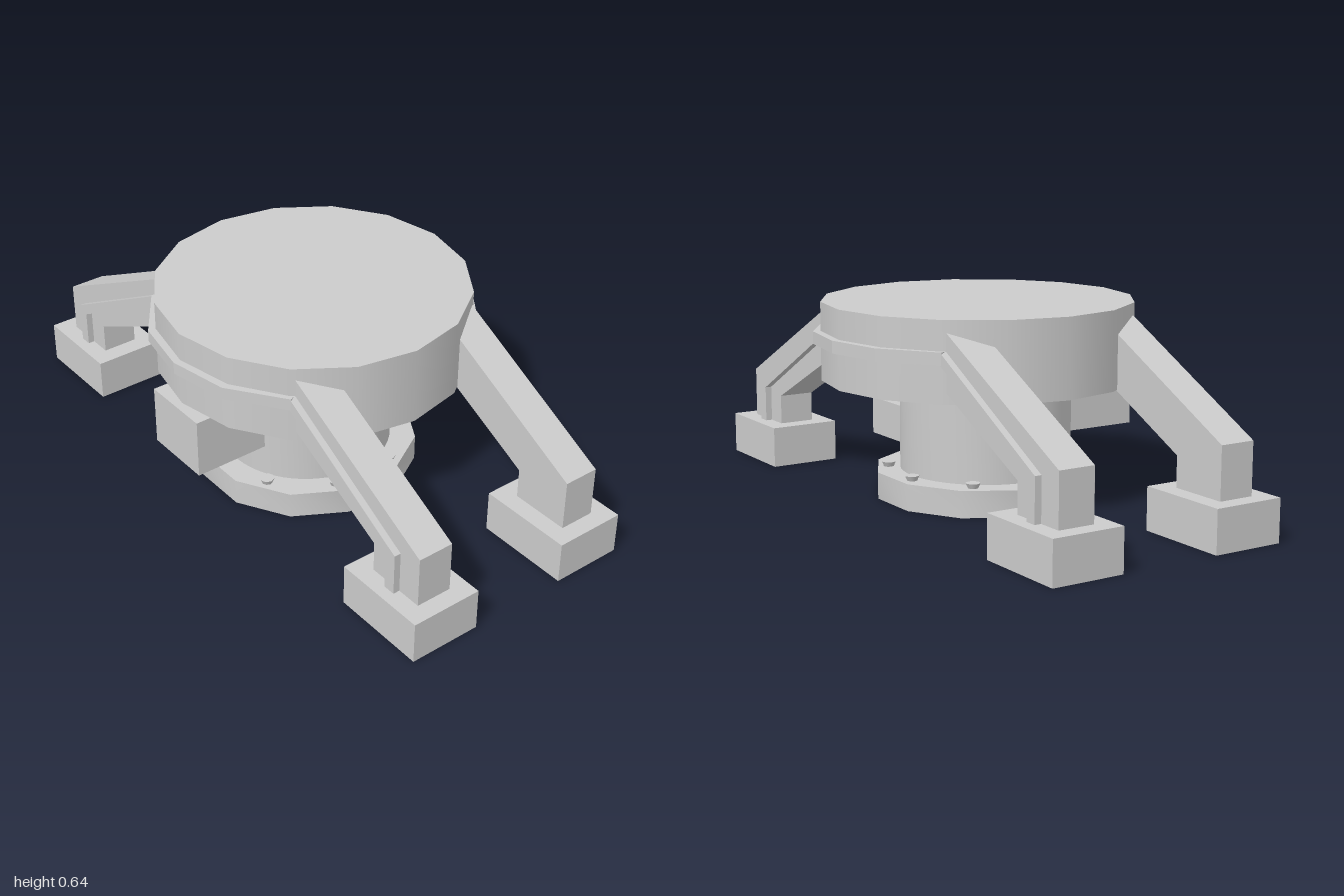
import * as THREE from 'three';
import { toCreasedNormals } from 'three/addons/utils/BufferGeometryUtils.js';

const material = new THREE.MeshStandardMaterial({ color: 0xcccccc });
const CENTRE_Z = 0.03; // the pedestal sits slightly forward of the disc

function add(parent, name, geometry, x = 0, y = 0, z = 0) {
  const mesh = new THREE.Mesh(geometry, material);
  mesh.name = name;
  mesh.position.set(x, y, z);
  parent.add(mesh);
  return mesh;
}

const polygon = (points) => new THREE.Shape(points.map(([x, y]) => new THREE.Vector2(x, y)));
const extrude = (shape, depth) =>
  new THREE.ExtrudeGeometry(shape, { depth, bevelEnabled: false, curveSegments: 24 });

// Mirror a half outline across x = 0
const mirrored = (half) => [...half, ...half.map(([x, y]) => [-x, y]).reverse()];

function createPedestal() {
  const pedestal = new THREE.Group();
  pedestal.name = 'pedestal';
  pedestal.position.z = CENTRE_Z;

  // Twelve-sided flange with a round bore
  const corners = [];
  for (let i = 0; i < 12; i++) {
    const a = ((15 + i * 30) * Math.PI) / 180;
    corners.push([0.365 * Math.cos(a), 0.365 * Math.sin(a)]);
  }
  const outline = polygon(corners);
  outline.holes.push(new THREE.Path().absarc(0, 0, 0.227, 0, Math.PI * 2, true));
  const flange = extrude(outline, 0.087).rotateX(-Math.PI / 2);
  add(pedestal, 'baseFlange', toCreasedNormals(flange, 0.6));

  // Hollow neck
  const tube = extrude(
    (() => {
      const ring = new THREE.Shape().absarc(0, 0, 0.28, 0, Math.PI * 2, false);
      ring.holes.push(new THREE.Path().absarc(0, 0, 0.227, 0, Math.PI * 2, true));
      return ring;
    })(),
    0.305
  ).rotateX(-Math.PI / 2);
  add(pedestal, 'neck', toCreasedNormals(tube, 0.6), 0, 0.086, 0);

  // Nine flange bolts
  const bolt = new THREE.CylinderGeometry(0.024, 0.016, 0.018, 8);
  for (let i = 0; i < 9; i++) {
    const a = ((i * 40 - 10) * Math.PI) / 180;
    add(pedestal, 'bolt', bolt, 0.318 * Math.sin(a), 0.094, 0.318 * Math.cos(a));
  }
  return pedestal;
}

// One leg on the +x, +z corner, with its foot and side conduit
function createLeg() {
  const leg = new THREE.Group();
  leg.name = 'leg';
  const arm = polygon([
    [0.366, 0.605], [0.366, 0.425], [0.743, 0.237], [0.743, 0.13], [0.942, 0.13], [0.942, 0.305],
  ]);
  add(leg, 'arm', extrude(arm, 0.12), 0, 0, 0.227);
  add(leg, 'foot', new THREE.BoxGeometry(0.32, 0.138, 0.24), 0.84, 0.069, 0.287);
  const conduit = polygon([
    [0.365, 0.549], [0.365, 0.51], [0.82, 0.258], [0.82, 0.135], [0.86, 0.135], [0.86, 0.276],
  ]);
  add(leg, 'legConduit', extrude(conduit, 0.028), 0, 0, 0.341);
  return leg;
}

export function createModel() {
  const model = new THREE.Group();
  model.name = 'turretBase';

  // Sixteen-sided platform
  add(model, 'disc', new THREE.CylinderGeometry(0.508, 0.508, 0.254, 16), 0, 0.516, 0);

  model.add(createPedestal());

  // Box passing through the front wall of the neck
  add(model, 'frontBox', new THREE.BoxGeometry(0.237, 0.197, 0.375), 0, 0.2915, 0.3475);

  // Legs: left pair turned half round gives the right pair, mirrored by shape symmetry
  for (const side of [1, -1]) {
    for (const end of [1, -1]) {
      const leg = createLeg();
      leg.scale.set(side, 1, end);
      model.add(leg);
    }
  }

  // Conduit wrapped round the front and back of the disc
  const outer = mirrored([[0.375, 0.368], [0.2, 0.494]]);
  const band = polygon([
    [0.375, 0.368], [0.2, 0.494], [0, 0.532], [-0.2, 0.494], [-0.375, 0.368],
    [-0.36, 0.34], [-0.19, 0.45], [0, 0.49], [0.19, 0.45], [0.36, 0.34],
  ]);
  const bandGeometry = extrude(band, 0.04).rotateX(Math.PI / 2);
  for (const turn of [0, Math.PI]) {
    add(model, 'discConduit', bandGeometry, 0, 0.549, 0).rotation.y = turn;
  }
  return model;
}
